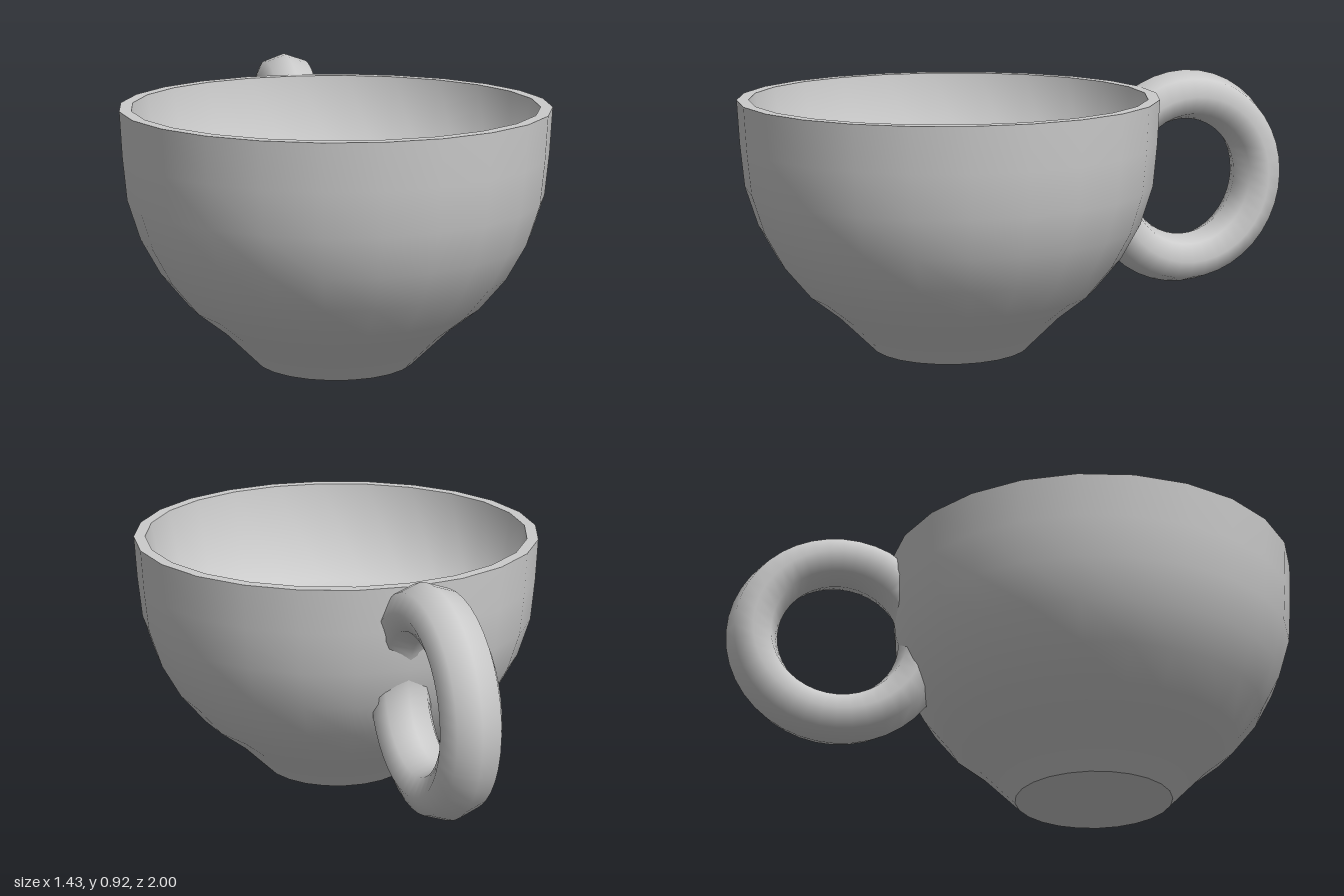
import * as THREE from 'three';

const CUP_Z = 0.283;
const OUTER = [[0.27, 0], [0.4, 0.13], [0.5, 0.21], [0.59, 0.32], [0.655, 0.44], [0.697, 0.575], [0.71, 0.72], [0.717, 0.87]];
const RIM = [[0.717, 0.87], [0.677, 0.87]];
const INNER = [[0.677, 0.87], [0.615, 0.5], [0, 0.5]];

// Outer cup radius at a given height
function outerRadius(y) {
  for (let i = 1; i < OUTER.length; i++) {
    const [r0, y0] = OUTER[i - 1], [r1, y1] = OUTER[i];
    if (y <= y1) return r0 + (r1 - r0) * Math.max(0, (y - y0) / (y1 - y0));
  }
  return OUTER[OUTER.length - 1][0];
}

export function createModel() {
  const group = new THREE.Group();
  group.name = 'cup';
  const material = new THREE.MeshStandardMaterial({ color: 0xcccccc });

  // Turned parts of the cup, each smooth and sharp where they meet
  const bowl = new THREE.Group();
  bowl.name = 'bowl';
  bowl.position.z = CUP_Z;
  group.add(bowl);
  const parts = { base: [[0, 0], [0.27, 0]], outerWall: OUTER, rim: RIM, inside: INNER };
  for (const [name, profile] of Object.entries(parts)) {
    const points = profile.map(([r, y]) => new THREE.Vector2(r, y));
    const mesh = new THREE.Mesh(new THREE.LatheGeometry(points, 24), material);
    mesh.name = name;
    bowl.add(mesh);
  }

  // Ring handle, slightly wider than deep
  const ring = new THREE.TorusGeometry(0.298, 0.088, 8, 40);
  ring.scale(1, 1, 1.19);
  ring.rotateY(Math.PI / 2);
  ring.translate(0, 0.535, -0.612);

  // Keep the buried part of the ring inside the cup wall
  const p = ring.attributes.position;
  for (let i = 0; i < p.count; i++) {
    const x = p.getX(i), z = p.getZ(i) - CUP_Z;
    const limit = outerRadius(p.getY(i)) - 0.018;
    if (Math.hypot(x, z) < limit) p.setZ(i, CUP_Z - Math.sqrt(limit * limit - x * x));
  }
  const handle = new THREE.Mesh(ring, material);
  handle.name = 'handle';
  group.add(handle);

  return group;
}
